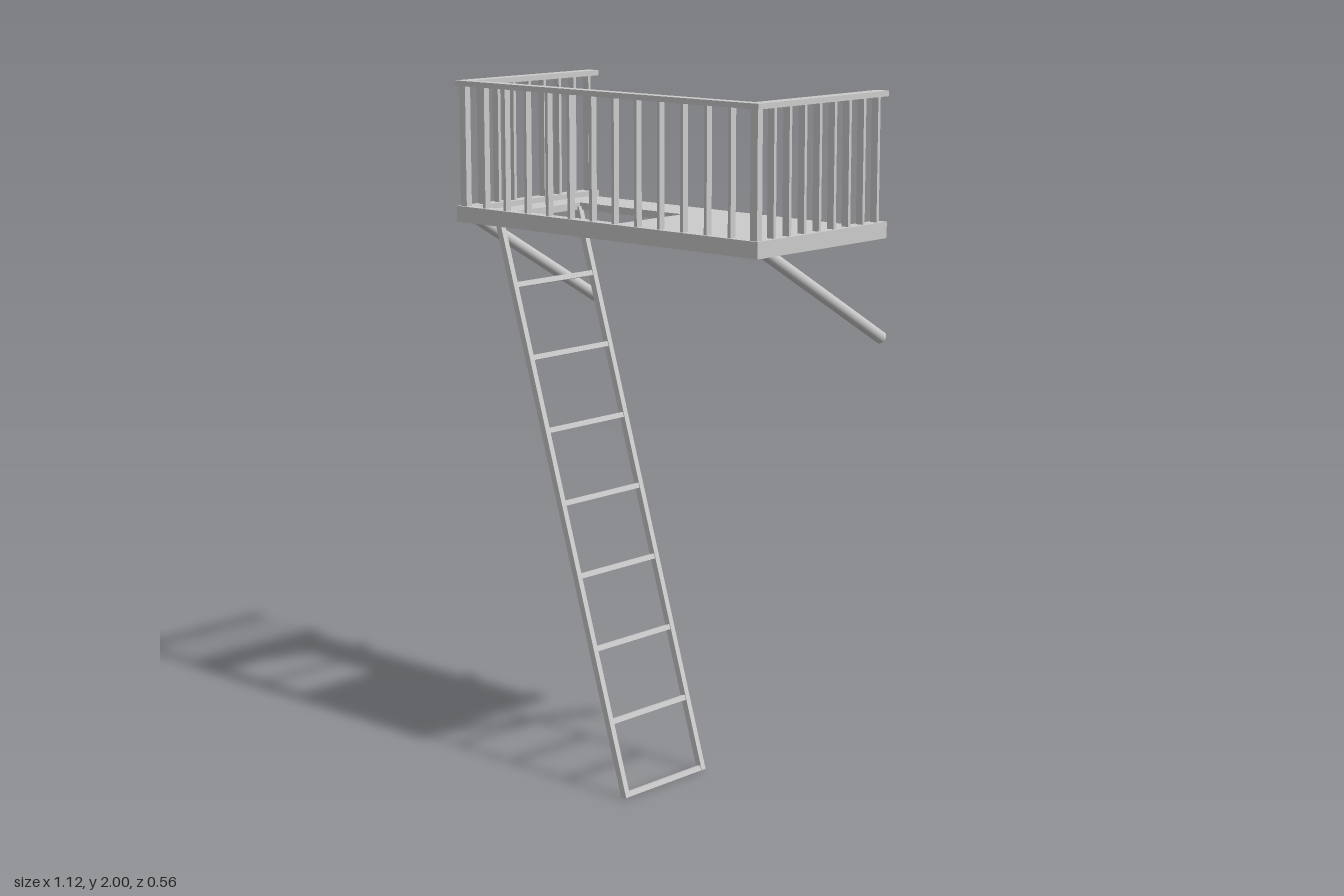
import * as THREE from 'three';

const grey = new THREE.MeshStandardMaterial({ color: 0xcccccc, flatShading: true });
const smooth = new THREE.MeshStandardMaterial({ color: 0xcccccc });

function add(parent, name, geometry, material = grey) {
  const mesh = new THREE.Mesh(geometry, material);
  mesh.name = name;
  parent.add(mesh);
  return mesh;
}

function box(parent, name, size, pos) {
  const mesh = add(parent, name, new THREE.BoxGeometry(...size));
  mesh.position.set(...pos);
  return mesh;
}

// Outline given as [x, z] points, extruded upwards from y0 to y1
function slab(points, y0, y1, hole) {
  const toV = ([x, z]) => new THREE.Vector2(x, -z);
  const shape = new THREE.Shape(points.map(toV));
  if (hole) shape.holes.push(new THREE.Path(hole.map(toV)));
  return new THREE.ExtrudeGeometry(shape, { depth: y1 - y0, bevelEnabled: false })
    .rotateX(-Math.PI / 2).translate(0, y0, 0);
}

// Turn a mesh built along y so that it spans from a to b
function span(mesh, a, b) {
  mesh.position.copy(a).add(b).multiplyScalar(0.5);
  mesh.quaternion.setFromUnitVectors(new THREE.Vector3(0, 1, 0), b.clone().sub(a).normalize());
}

export function createModel() {
  const model = new THREE.Group();
  model.name = 'fireEscape';
  const W = 0.56, F = 0.28, B = -0.265, T = 0.04;

  // Three-sided frame and handrail, open towards the wall
  const u = [[-W, B], [-W, F], [W, F], [W, B], [W - T, B],
    [W - T, F - 0.035], [-W + T, F - 0.035], [-W + T, B]];
  add(model, 'floorFrame', slab(u, 1.6, 1.645));
  add(model, 'handrail', slab(u, 1.985, 2));

  // Floor plate with ladder hatch
  const rect = (x0, x1, z0, z1) => [[x0, z0], [x0, z1], [x1, z1], [x1, z0]];
  add(model, 'floorPlate', slab(rect(-W + T, W - T, -0.238, F - 0.035), 1.61, 1.63,
    rect(-0.435, -0.035, -0.095, 0.235)));

  // Balusters: flat bars and square corner posts
  const railing = new THREE.Group();
  railing.name = 'railing';
  model.add(railing);
  const H = 0.35, cy = 1.815, px = 0.54, pz = 0.262;
  for (let i = 1; i <= 12; i++) {
    box(railing, 'frontBaluster', [0.01, H, 0.02], [-px + i * 2 * px / 13, cy, pz]);
  }
  for (const s of [-1, 1]) {
    box(railing, 'cornerPost', [0.024, H, 0.02], [s * px, cy, pz]);
    for (let i = 1; i <= 8; i++) {
      box(railing, 'sideBaluster', [0.022, H, 0.01], [s * px, cy, pz - i * 0.0622]);
    }
  }

  // Slanted round struts running back to the wall
  for (const s of [-1, 1]) {
    const a = new THREE.Vector3(s * px, 1.322, -0.272);
    const b = new THREE.Vector3(s * px, 1.61, 0.228);
    const strut = add(model, 'supportStrut',
      new THREE.CylinderGeometry(0.0175, 0.0175, a.distanceTo(b), 24), smooth);
    span(strut, a, b);
  }

  // Leaning ladder
  const ladder = new THREE.Group();
  ladder.name = 'ladder';
  model.add(ladder);
  const xAt = (y) => 0.046 - 0.3 * y;
  for (const z of [0.232, -0.092]) {
    const a = new THREE.Vector3(xAt(0.003), 0.003, z);
    const b = new THREE.Vector3(xAt(1.618), 1.618, z);
    span(box(ladder, 'ladderRail', [0.019, a.distanceTo(b), 0.017], [0, 0, 0]), a, b);
  }
  for (let i = 0; i < 8; i++) {
    const y = 0.01 + i * 0.2027;
    const rung = box(ladder, 'ladderRung', [0.015, 0.015, 0.324], [xAt(y), y, 0.07]);
    rung.rotation.z = Math.atan(0.3);
  }
  return model;
}
